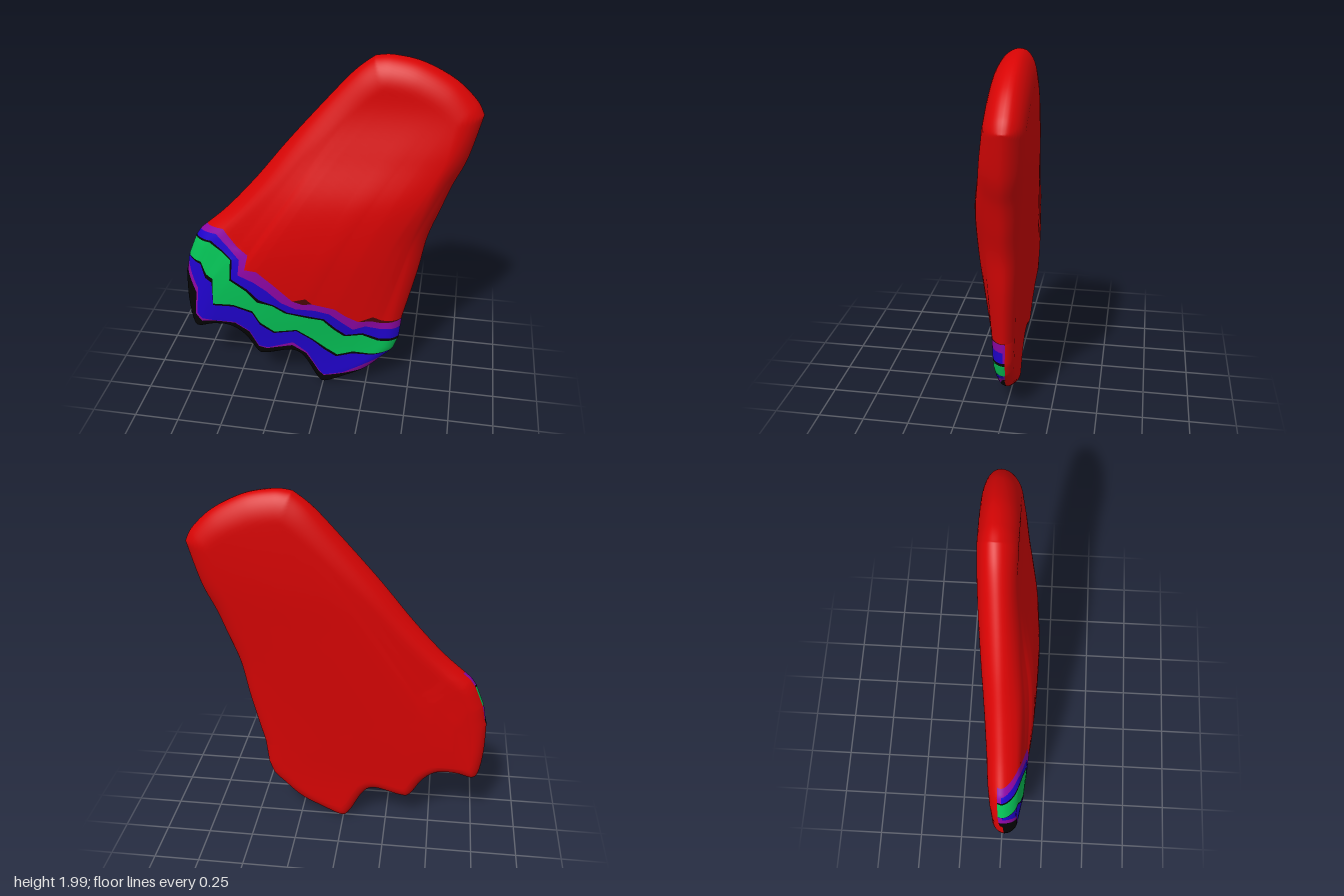
import * as THREE from 'three';
import { mergeVertices } from 'three/addons/utils/BufferGeometryUtils.js';

const points = (a) => a.map(([x, y]) => new THREE.Vector2(x, y));
const spline = (a) => new THREE.SplineCurve(points(a));

// Straight-edged curve across the shape, sampled by point index
function jagged(a) {
  const p = points(a);
  return (s) => {
    const t = s * (p.length - 1);
    const i = Math.min(Math.floor(t + 1e-9), p.length - 2);
    return p[i].clone().lerp(p[i + 1], t - i);
  };
}
const blend = (f, g, k) => (s) => f(s).lerp(g(s), k);

// Outline: top end, two sides and the three-lobed tip
const top = spline([[0.24, 1.99], [0.33, 1.998], [0.48, 1.97], [0.64, 1.89], [0.75, 1.79], [0.79, 1.72]]);
const leftSide = spline([[0.24, 1.99], [0.14, 1.91], [0, 1.755], [-0.2, 1.52], [-0.37, 1.305], [-0.53, 1.125], [-0.65, 1.015]]);
const rightSide = spline([[0.79, 1.72], [0.73, 1.49], [0.665, 1.34], [0.615, 1.2], [0.555, 1.025], [0.515, 0.81], [0.445, 0.505]]);
const tip = spline([[-0.79, 0.7], [-0.79, 0.52], [-0.77, 0.37], [-0.73, 0.335], [-0.64, 0.36], [-0.54, 0.36],
  [-0.46, 0.3], [-0.39, 0.19], [-0.33, 0.18], [-0.18, 0.22], [-0.11, 0.17], [-0.04, 0.04], [0.01, 0.005],
  [0.12, 0.055], [0.25, 0.13], [0.35, 0.23]]);
const tipAt = (s) => tip.getPoint(s);

// Zigzag borders between the colour bands, left to right
const maroonTop = jagged([[-0.65, 1.015], [-0.54, 1.03], [-0.46, 0.94], [-0.4, 0.9], [-0.42, 0.81], [-0.35, 0.81],
  [-0.26, 0.735], [-0.155, 0.635], [-0.08, 0.66], [-0.045, 0.625], [0.08, 0.6], [0.14, 0.55], [0.21, 0.51],
  [0.29, 0.545], [0.34, 0.515], [0.445, 0.505]]);
const purpleTop = jagged([[-0.65, 1.015], [-0.54, 1.03], [-0.46, 0.94], [-0.4, 0.9], [-0.42, 0.81], [-0.35, 0.81],
  [-0.26, 0.735], [-0.155, 0.635], [-0.1, 0.618], [-0.045, 0.625], [0.08, 0.6], [0.14, 0.55], [0.21, 0.51],
  [0.28, 0.515], [0.34, 0.497], [0.445, 0.502]]);
const blueTop = jagged([[-0.69, 0.98], [-0.58, 0.995], [-0.51, 0.93], [-0.45, 0.865], [-0.46, 0.77], [-0.37, 0.735],
  [-0.3, 0.69], [-0.22, 0.615], [-0.14, 0.58], [-0.03, 0.58], [0.05, 0.56], [0.12, 0.5], [0.18, 0.45],
  [0.25, 0.475], [0.33, 0.455], [0.44, 0.45]]);
const greenTop = jagged([[-0.72, 0.935], [-0.62, 0.94], [-0.55, 0.9], [-0.5, 0.86], [-0.51, 0.73], [-0.42, 0.67],
  [-0.36, 0.6], [-0.27, 0.585], [-0.2, 0.54], [-0.07, 0.52], [0.01, 0.51], [0.07, 0.445], [0.13, 0.395],
  [0.23, 0.41], [0.32, 0.37], [0.432, 0.365]]);
const greenBottom = jagged([[-0.765, 0.82], [-0.68, 0.81], [-0.65, 0.74], [-0.61, 0.72], [-0.62, 0.55], [-0.5, 0.56],
  [-0.39, 0.53], [-0.35, 0.45], [-0.27, 0.39], [-0.14, 0.42], [-0.05, 0.36], [0.02, 0.3], [0.09, 0.25],
  [0.18, 0.28], [0.29, 0.27], [0.405, 0.29]]);
const lowPurpleTop = jagged([[-0.772, 0.79], [-0.71, 0.63], [-0.725, 0.455], [-0.695, 0.425], [-0.62, 0.424],
  [-0.5, 0.43], [-0.418, 0.375], [-0.368, 0.265], [-0.315, 0.258], [-0.165, 0.318], [-0.085, 0.25], [-0.018, 0.115],
  [0.01, 0.085], [0.12, 0.112], [0.25, 0.19], [0.378, 0.258]]);
const blackTop = jagged([[-0.78, 0.74], [-0.722, 0.6], [-0.735, 0.45], [-0.7, 0.405], [-0.62, 0.42], [-0.5, 0.425],
  [-0.42, 0.37], [-0.37, 0.26], [-0.32, 0.25], [-0.17, 0.295], [-0.09, 0.24], [-0.02, 0.11], [0.01, 0.08],
  [0.122, 0.105], [0.248, 0.14], [0.352, 0.233]]);

// Front and back depth at equal steps of height, from the tip up
const depth = spline([[0.065, -0.045], [0.085, -0.05], [0.12, -0.07], [0.15, -0.09], [0.165, -0.11],
  [0.15, -0.13], [0.09, -0.15], [0.04, -0.16], [0.04, -0.16]]);

// Red upper part: a patch between its four border curves
const upper = (v) => (s) => {
  const p = top.getPoint(s).lerp(maroonTop(s), v);
  const l = leftSide.getPoint(v).sub(top.getPoint(0).lerp(maroonTop(0), v));
  const r = rightSide.getPoint(v).sub(top.getPoint(1).lerp(maroonTop(1), v));
  return p.addScaledVector(l, 1 - s).addScaledVector(r, s);
};

function segmentDistance(p, a, b) {
  const dx = b.x - a.x, dy = b.y - a.y;
  const k = THREE.MathUtils.clamp(((p.x - a.x) * dx + (p.y - a.y) * dy) / (dx * dx + dy * dy || 1), 0, 1);
  return Math.hypot(p.x - a.x - k * dx, p.y - a.y - k * dy);
}

export function createModel() {
  const colours = { red: 0xd80404, maroon: 0x4a0606, purple: 0x8e06a4, blue: 0x2002cc, black: 0x040404, green: 0x04c256 };
  const names = Object.keys(colours);
  const materials = names.map((name) => {
    const m = new THREE.MeshStandardMaterial({ color: colours[name] });
    m.name = name;
    return m;
  });

  // Rows of curves from the top end to the tip, with a colour for each strip
  const rows = [], strips = [];
  for (let i = 0; i <= 44; i++) {
    rows.push(upper((i / 44) ** 1.5));
    if (i) strips.push('red');
  }
  const upperLine = blend(blueTop, greenTop, 0.8);
  const lowerLine = blend(greenBottom, lowPurpleTop, 0.09);
  const bands = [
    ['maroon', maroonTop, purpleTop, 1],
    ['purple', purpleTop, blueTop, 3],
    ['blue', blueTop, upperLine, 3],
    ['black', upperLine, greenTop, 1],
    ['green', greenTop, greenBottom, 6],
    ['black', greenBottom, lowerLine, 1],
    ['blue', lowerLine, lowPurpleTop, 6],
    ['purple', lowPurpleTop, blackTop, 2],
    ['black', blackTop, tipAt, 10],
  ];
  for (const [colour, from, to, n] of bands) {
    for (let i = 1; i <= n; i++) {
      const t = to === tipAt ? 1 - (1 - i / n) ** 1.8 : i / n;
      rows.push(blend(from, to, t));
      strips.push(colour);
    }
  }

  // Columns, closer together at both edges
  const columns = [0, 0.001, 0.004];
  for (let j = 1; j < 90; j++) columns.push(j / 90);
  columns.push(0.996, 0.999, 1);
  const nr = rows.length, nc = columns.length;
  const grid = rows.map((row) => columns.map(row));

  const outline = [
    ...grid[0],
    ...grid.slice(1, -1).map((r) => r[nc - 1]),
    ...[...grid[nr - 1]].reverse(),
    ...grid.slice(1, -1).map((r) => r[0]).reverse(),
  ];

  // Swell the flat shape forward and back, rounding its rim
  const position = [];
  for (const side of [0, 1]) {
    grid.forEach((row, i) => row.forEach((p, j) => {
      const y = THREE.MathUtils.clamp(p.y, 0, 2);
      let d = 0;
      if (i > 0 && i < nr - 1 && j > 0 && j < nc - 1) {
        d = Infinity;
        outline.forEach((a, k) => {
          d = Math.min(d, segmentDistance(p, a, outline[(k + 1) % outline.length]));
        });
      }
      const k = 1 - Math.min(d / (0.07 + 0.012 * y ** 3), 1);
      const round = Math.sqrt(1 - k * k);
      const mid = 0.01 - 0.018 * y - 0.01 * y * y - 0.025 * p.x;
      const rim = 0.05 + 0.012 * y * y;
      const limit = depth.getPoint(y / 2);
      const full = side ? mid - limit.y : limit.x - mid;
      const bump = Math.sin(Math.PI * columns[j]) ** 0.8;
      const h = round * (rim + (full - rim) * bump);
      position.push(p.x, p.y, side ? mid - h : mid + h);
    }));
  }

  // Banded front, red back; the bands wrap a little way round both edges, where blue turns purple
  const faces = names.map(() => []);
  for (const side of [0, 1]) {
    for (let i = 0; i < nr - 1; i++) {
      for (let j = 0; j < nc - 1; j++) {
        const a = (side * nr + i) * nc + j, b = a + nc;
        let colour = strips[i];
        if (side && j >= 2 && j < nc - 2) colour = 'red';
        else if (side && colour === 'blue') colour = 'purple';
        const list = faces[names.indexOf(colour)];
        if (side) list.push(a, b + 1, b, a, a + 1, b + 1);
        else list.push(a, b, b + 1, a, b + 1, a + 1);
      }
    }
  }
  const geometry = new THREE.BufferGeometry();
  let start = 0;
  faces.forEach((list, m) => {
    geometry.addGroup(start, list.length, m);
    start += list.length;
  });
  geometry.setAttribute('position', new THREE.Float32BufferAttribute(position, 3));
  geometry.setIndex(faces.flat());
  const smooth = mergeVertices(geometry, 1e-5);
  smooth.computeVertexNormals();

  const fin = new THREE.Mesh(smooth, materials);
  fin.name = 'bandedFin';
  const group = new THREE.Group();
  group.name = 'fin';
  group.add(fin);
  return group;
}
